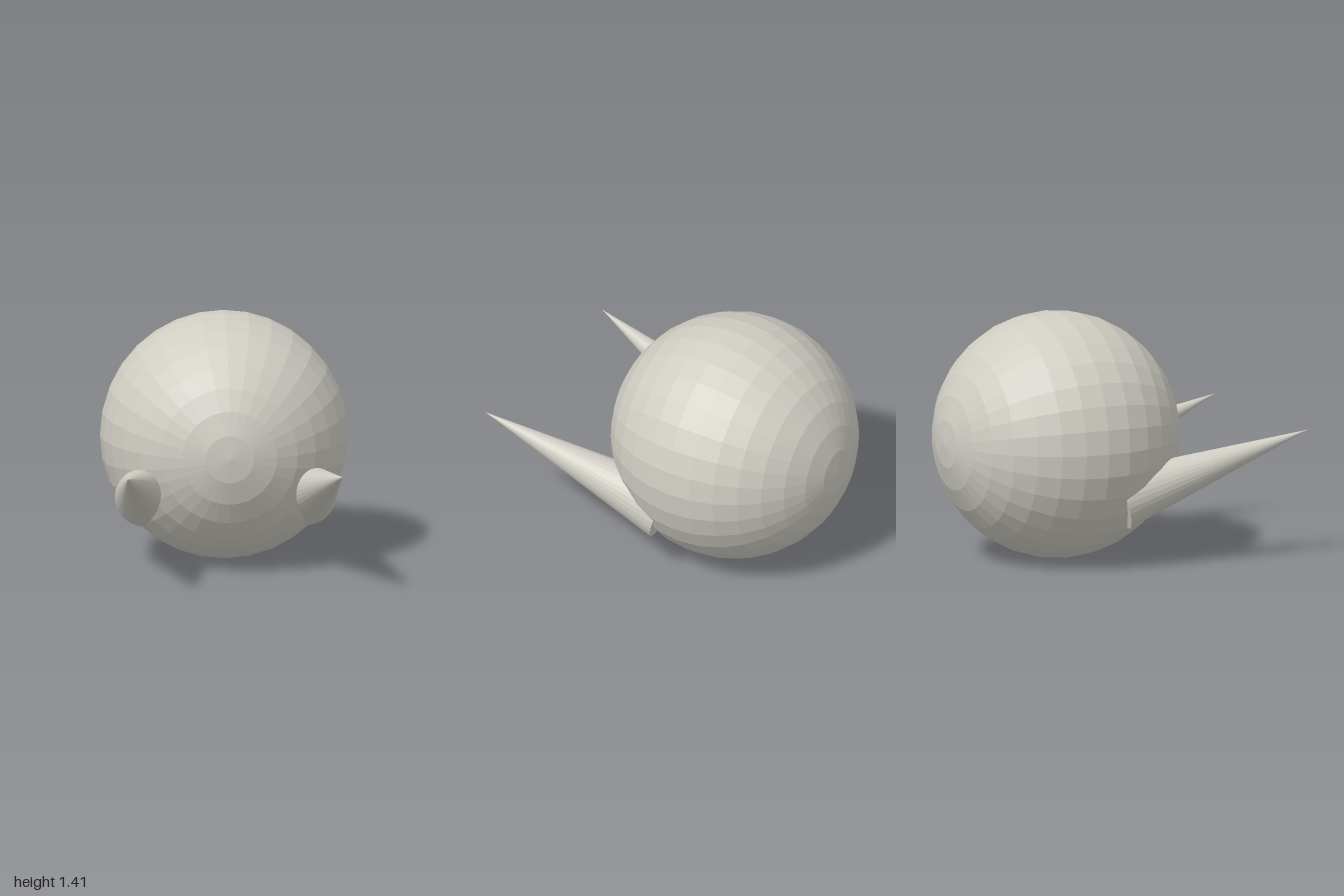
import * as THREE from 'three';

export function createModel() {
  const model = new THREE.Group();
  const stone = new THREE.MeshStandardMaterial({ color: 0xcfcdc3 });
  stone.name = 'warm grey';

  const add = (geometry, name) => {
    // Separate the corners so every facet gets its own normal
    const flat = geometry.toNonIndexed();
    flat.computeVertexNormals();
    const mesh = new THREE.Mesh(flat, stone);
    mesh.name = name;
    model.add(mesh);
    return mesh;
  };

  // Faceted ball with its poles facing front and back
  const body = add(new THREE.SphereGeometry(0.705, 32, 16).rotateX(Math.PI / 2), 'body');
  body.position.set(0, 0.706, -0.295);

  // Long tusks, sunk into the lower sides and rising forward
  const up = new THREE.Vector3(0, 1, 0);
  for (const side of [1, -1]) {
    const tip = new THREE.Vector3(side * 0.61, 0.73, 1);
    const base = new THREE.Vector3(side * 0.456, 0.389, -0.116);
    const axis = tip.clone().sub(base);
    const tusk = add(new THREE.ConeGeometry(0.174, axis.length(), 32), side > 0 ? 'leftTusk' : 'rightTusk');
    tusk.position.copy(base).add(tip).multiplyScalar(0.5);
    tusk.quaternion.setFromUnitVectors(up, axis.normalize());
  }
  return model;
}
